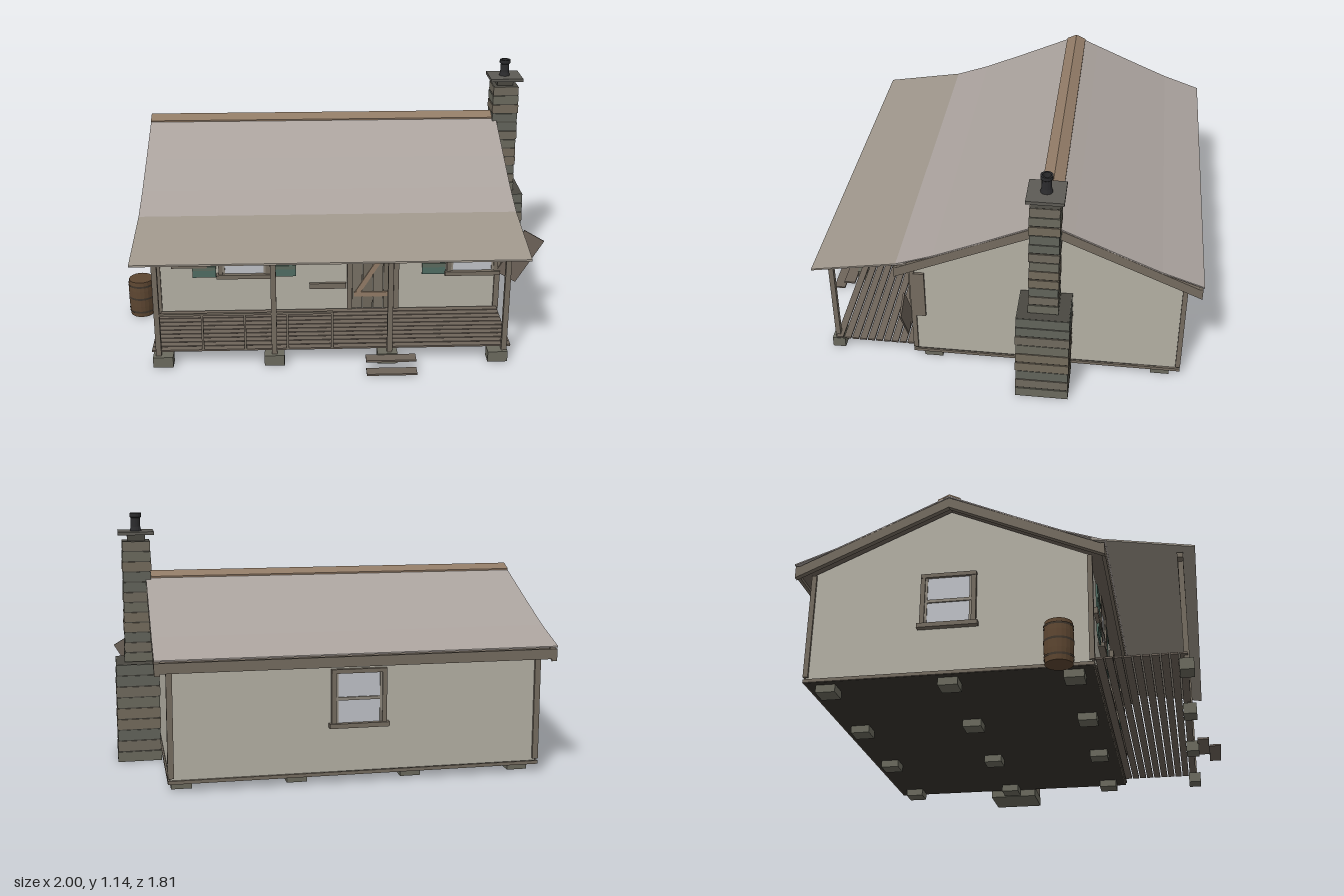
import * as THREE from 'three';

const mats = {};
const mat = (c) => (mats[c] ??= new THREE.MeshStandardMaterial({ color: c, flatShading: true, side: THREE.DoubleSide }));

const WALL = 0xb4b0a4, TRIM = 0x756c60, WOOD = 0x6e645a, ROOF = 0xaaa29d, GLASS = 0xbfc2c8;
const TEAL = 0x4f6c62, DARK = 0x38342e, RUST = 0x917b66, STONES = [0x6b6a5e, 0x746b5c, 0x62645b, 0x706a5e];
const RIDGE_Z = -0.22, ROOF_X = -0.025, ROOF_W = 1.75;

export function createModel() {
  const root = new THREE.Group();

  function add(name, geo, color, x = 0, y = 0, z = 0, parent = root) {
    const m = new THREE.Mesh(geo, mat(color));
    m.name = name;
    m.position.set(x, y, z);
    parent.add(m);
    return m;
  }
  // Box given by its lower and upper limits on each axis
  const box = (name, color, [x0, x1], [y0, y1], [z0, z1], parent) =>
    add(name, new THREE.BoxGeometry(x1 - x0, y1 - y0, z1 - z0), color,
      (x0 + x1) / 2, (y0 + y1) / 2, (z0 + z1) / 2, parent);
  const group = (name, x = 0, y = 0, z = 0, ry = 0) => {
    const g = new THREE.Group();
    g.name = name;
    g.position.set(x, y, z);
    g.rotation.y = ry;
    root.add(g);
    return g;
  };
  // Solid with a (z, y) outline, running along x
  function alongX(name, color, pts, x0, x1, parent) {
    const shape = new THREE.Shape(pts.map(([z, y]) => new THREE.Vector2(-z, y)));
    const geo = new THREE.ExtrudeGeometry(shape, { depth: x1 - x0, bevelEnabled: false });
    geo.rotateY(Math.PI / 2);
    return add(name, geo, color, x0, 0, 0, parent);
  }

  // House body with gables, floor and base trim
  alongX('walls', WALL, [[0.39, 0.05], [0.39, 0.55], [RIDGE_Z, 0.82], [-0.83, 0.55], [-0.83, 0.05]], -0.84, 0.79);
  box('floor', DARK, [-0.845, 0.795], [0.034, 0.05], [-0.835, 0.395]);
  for (const z of [-0.833, 0.393]) box('baseTrim', TRIM, [-0.85, 0.8], [0.035, 0.05], [z - 0.007, z + 0.007]);
  for (const x of [-0.843, 0.793]) box('baseTrim', TRIM, [x - 0.007, x + 0.007], [0.035, 0.05], [-0.83, 0.39]);
  for (const x of [-0.837, 0.787]) for (const z of [-0.83, 0.39])
    box('cornerBoard', TRIM, [x - 0.013, x + 0.013], [0.06, 0.545], [z - 0.011, z + 0.011]);

  // Foundation piers under house and porch
  for (const x of [-0.77, -0.27, 0.24, 0.74]) {
    for (const z of [-0.75, -0.22, 0.31]) box('housePier', STONES[0], [x - 0.045, x + 0.045], [0, 0.036], [z - 0.043, z + 0.043]);
    box('porchPier', STONES[0], [x - 0.055, x + 0.035], [0, 0.05], [0.74, 0.8]);
  }

  // Main roof: boarded deck, bargeboards, fascias and a gently sagging metal sheet
  const slope = (s, top, thick, reach) => [[0, top], [s * reach, top - 0.435 * reach],
    [s * reach, top - thick - 0.435 * reach], [0, top - thick]].map(([z, y]) => [z + RIDGE_Z, y]);
  const sag = [[0, 0.868], [0.12, 0.814], [0.3, 0.734], [0.5, 0.648], [0.685, 0.583]];
  for (const s of [1, -1]) {
    alongX('roofDeck', WOOD, slope(s, 0.85, 0.022, 0.665), -0.885, 0.835);
    for (const x of [-0.9, 0.825]) alongX('bargeboard', TRIM, slope(s, 0.858, 0.047, 0.68), x, x + 0.025);
    const eave = RIDGE_Z + s * 0.672;
    box('fascia', TRIM, [-0.9, 0.85], [0.525, 0.57], [eave - 0.008, eave + 0.008]);
    const sheet = [...sag, ...sag.map(([d, y]) => [d, y - 0.006]).reverse()];
    alongX('roofSheet', ROOF, sheet.map(([d, y]) => [RIDGE_Z + s * d, y]), -0.9, 0.85);
    alongX('ridgeCap', RUST, [[0, 0.876], [0.05, 0.853], [0.05, 0.846], [0, 0.869]].map(([d, y]) => [RIDGE_Z + s * d, y]), -0.9, 0.85);
  }

  // Porch roof, beam and posts
  alongX('porchRoof', 0x9f978c, [[0.4, 0.597], [0.835, 0.524], [0.835, 0.516], [0.4, 0.589]], -0.9, 0.85);
  box('porchBeam', TRIM, [-0.85, 0.8], [0.5, 0.522], [0.758, 0.784]);
  for (const x of [-0.8, -0.28, 0.24, 0.76]) box('porchPost', TRIM, [x - 0.012, x + 0.012], [0.05, 0.505], [0.76, 0.783]);

  // Porch deck boards on joists
  const deck = group('porchDeck');
  for (let i = 0; i < 10; i++) {
    const z = 0.402 + i * 0.038;
    box('deckBoard', WOOD, [-0.83, 0.79], [0.066, 0.074], [z, z + 0.032], deck);
  }
  box('deckEdge', TRIM, [-0.8, 0.78], [0.04, 0.053], [0.395, 0.405], deck);

  // Broken railing
  box('railTop', TRIM, [-0.8, -0.015], [0.245, 0.255], [0.766, 0.778]);
  for (const x of [-0.6, -0.41, -0.22, -0.02]) box('baluster', TRIM, [x - 0.005, x + 0.005], [0.07, 0.25], [0.767, 0.777]);

  // Front steps
  box('lowerStep', WOOD, [0.13, 0.355], [0, 0.008], [0.85, 0.905]);
  box('upperStep', WOOD, [0.13, 0.355], [0.036, 0.045], [0.795, 0.85]);

  // Sash windows
  function sashWindow(x, z, ry) {
    const g = group('window', x, 0.375, z, ry);
    box('glass', GLASS, [-0.11, 0.11], [-0.11, 0.115], [-0.005, 0.005], g);
    for (const s of [1, -1]) {
      box('jamb', TRIM, [s * 0.112 - 0.01, s * 0.112 + 0.01], [-0.12, 0.125], [-0.005, 0.016], g);
      box('sashStile', 0x8d867b, [s * 0.098 - 0.006, s * 0.098 + 0.006], [-0.11, 0.115], [0, 0.01], g);
    }
    box('head', TRIM, [-0.122, 0.122], [0.112, 0.13], [-0.005, 0.018], g);
    box('sill', TRIM, [-0.132, 0.132], [-0.127, -0.107], [-0.005, 0.026], g);
    box('meetingRail', 0x8d867b, [-0.1, 0.1], [-0.007, 0.007], [0, 0.012], g);
  }
  sashWindow(-0.425, 0.393, 0);
  sashWindow(0.665, 0.393, 0);
  sashWindow(-0.025, -0.833, Math.PI);
  sashWindow(-0.843, -0.22, -Math.PI / 2);

  // Shutters, one of them hanging loose
  function shutter(x, z, tilt, color) {
    const g = group('shutter', x, 0.375, z);
    g.rotation.z = tilt;
    box('shutterPanel', color, [-0.056, 0.056], [-0.123, 0.123], [-0.004, 0.004], g);
    if (!tilt) for (const y of [-0.075, 0.065]) box('shutterBatten', 0x5b6a5e, [-0.056, 0.056], [y - 0.01, y + 0.01], [0, 0.009], g);
    return g;
  }
  for (const x of [-0.615, -0.235, 0.48]) shutter(x, 0.4, 0, TEAL);
  shutter(0.89, 0.404, -0.54, WOOD).position.y = 0.34;
  box('sidePanel', TRIM, [0.788, 0.802], [0.255, 0.5], [0.335, 0.385]);

  // Plank door with frame and Z brace
  const door = group('door', 0.19, 0, 0.393);
  for (let i = 0; i < 4; i++) {
    const x = -0.1 + i * 0.05;
    box('doorPlank', i % 2 ? 0x6f675b : 0x777064, [x + 0.001, x + 0.048], [0.075, 0.485], [-0.004, 0.006], door);
  }
  for (const x of [-0.112, 0.112]) box('doorJamb', TRIM, [x - 0.012, x + 0.012], [0.07, 0.505], [-0.004, 0.016], door);
  box('doorHead', TRIM, [-0.124, 0.124], [0.485, 0.508], [-0.004, 0.018], door);
  for (const y of [0.15, 0.41]) box('doorBatten', RUST, [-0.09, 0.09], [y - 0.012, y + 0.012], [0, 0.012], door);
  add('doorBrace', new THREE.BoxGeometry(0.024, 0.28, 0.01), RUST, 0, 0.28, 0.007, door).rotation.z = -0.55;

  // Loose boards nailed across the front wall
  box('looseBoard', TRIM, [-0.77, -0.6], [0.305, 0.335], [0.395, 0.412]);
  box('looseBoard', TRIM, [-0.115, 0.06], [0.185, 0.213], [0.395, 0.41]);

  // Stone chimney laid in courses over a mortar core
  const chimney = group('chimney');
  function courses(n, [x0, x1], [y0, y1], [z0, z1]) {
    const h = (y1 - y0) / n;
    box('mortarCore', 0x4a4841, [x0 + 0.006, x1 - 0.006], [y0, y1 - 0.004], [z0 + 0.006, z1 - 0.006], chimney);
    for (let i = 0; i < n; i++) {
      const j = ((i * 7) % 3) * 0.0015;
      box('stoneCourse', STONES[(i * 3 + (i >> 2)) % 4], [x0 + j, x1 - j], [y0 + i * h, y0 + (i + 1) * h - 0.005], [z0 + j, z1 - j], chimney);
    }
  }
  courses(9, [0.8, 1], [0, 0.46], [-0.34, -0.1]);
  courses(12, [0.825, 0.957], [0.46, 1.02], [-0.285, -0.152]);
  box('chimneyNeck', 0x4a4841, [0.85, 0.93], [1.01, 1.05], [-0.255, -0.18], chimney);
  box('chimneyCap', 0x5d5b55, [0.81, 0.972], [1.046, 1.061], [-0.3, -0.14], chimney);
  const pot = [[0.001, 1.06], [0.027, 1.06], [0.022, 1.08], [0.021, 1.12], [0.027, 1.125], [0.027, 1.142], [0.018, 1.142], [0.016, 1.08], [0.001, 1.08]];
  add('chimneyPot', new THREE.LatheGeometry(pot.map(([r, y]) => new THREE.Vector2(r, y)), 14), 0x2b2b2d, 0.89, 0, -0.22, chimney);

  // Rain barrel with hoops
  const barrel = group('barrel', -0.936, 0, 0.265);
  const staves = [[0.001, 0.004], [0.058, 0.004], [0.062, 0.06], [0.063, 0.1], [0.062, 0.14], [0.058, 0.188], [0.001, 0.188]];
  add('staves', new THREE.LatheGeometry(staves.map(([r, y]) => new THREE.Vector2(r, y)), 20), 0x5d4631, 0, 0, 0, barrel);
  for (const y of [0.03, 0.1, 0.165])
    add('hoop', new THREE.CylinderGeometry(0.0635, 0.0635, 0.01, 20, 1, true), 0x40362c, 0, y, 0, barrel);

  return root;
}
